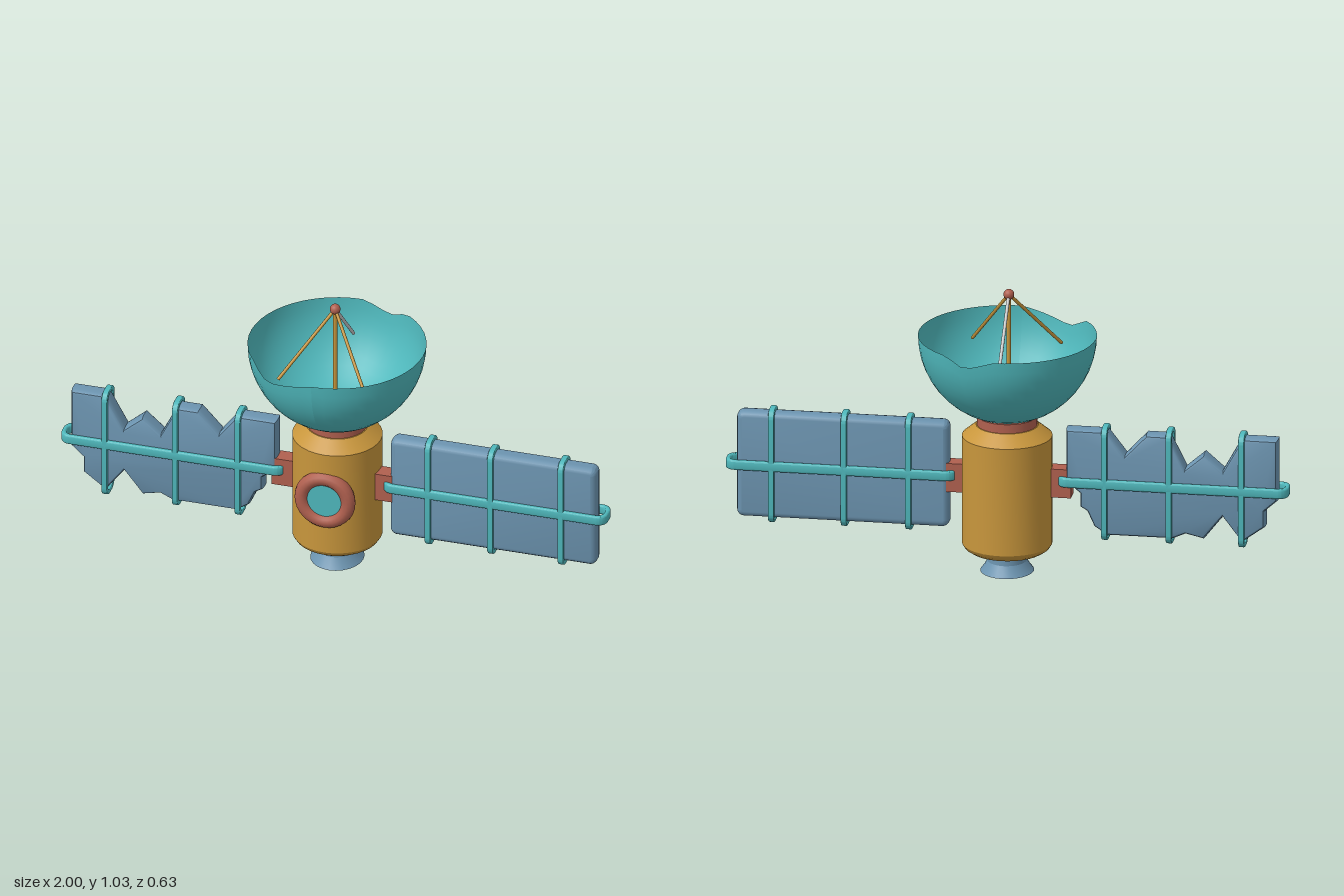
import * as THREE from 'three';
import { toCreasedNormals } from 'three/addons/utils/BufferGeometryUtils.js';

const mat = (color) => new THREE.MeshStandardMaterial({ color });
const gold = mat(0xc8963c), teal = mat(0x4fb8bc), red = mat(0xb0604f), blue = mat(0x6c94b0), grey = mat(0xcccccc);
const tealThin = mat(0x4fb8bc);
tealThin.side = THREE.DoubleSide;
const AXIS_Z = 0.012; // depth of the panels and feed
const BODY_Z = -0.005;

const V2 = (pts) => pts.map(([x, y]) => new THREE.Vector2(x, y));

function add(parent, name, geometry, material, x = 0, y = 0, z = 0) {
  const mesh = new THREE.Mesh(geometry, material);
  mesh.name = name;
  mesh.position.set(x, y, z);
  parent.add(mesh);
  return mesh;
}

const lathe = (pts, sides = 32) => toCreasedNormals(new THREE.LatheGeometry(V2(pts), sides), 0.5);

function roundRect(w, h, r, PathType = THREE.Shape) {
  const p = new PathType(), a = w / 2 - r, b = h / 2 - r;
  p.absarc(a, b, r, 0, Math.PI / 2);
  p.absarc(-a, b, r, Math.PI / 2, Math.PI);
  p.absarc(-a, -b, r, Math.PI, Math.PI * 1.5);
  p.absarc(a, -b, r, Math.PI * 1.5, Math.PI * 2);
  p.closePath();
  return p;
}

// Slab centred on z = 0 with soft edges kept inside the outline
function slab(shape, thickness, bevel, bevelThickness = bevel) {
  const depth = thickness - 2 * bevelThickness;
  const g = new THREE.ExtrudeGeometry(shape, {
    depth, bevelEnabled: true, bevelSize: bevel, bevelOffset: -bevel,
    bevelThickness, bevelSegments: 3, curveSegments: 5,
  });
  g.translate(0, 0, -depth / 2);
  return toCreasedNormals(g, 0.6);
}

// Closed strap that wraps around a panel
function strap(w, h, r, thick, width, bevel) {
  const shape = roundRect(w, h, r);
  shape.holes.push(roundRect(w - 2 * thick, h - 2 * thick, r - thick * 0.6, THREE.Path));
  return slab(shape, width, bevel);
}

function rod(parent, name, from, to, radius, material) {
  const a = new THREE.Vector3(...from), b = new THREE.Vector3(...to);
  const mesh = add(parent, name, new THREE.CylinderGeometry(radius, radius, a.distanceTo(b), 10), material);
  mesh.position.copy(a).lerp(b, 0.5);
  mesh.quaternion.setFromUnitVectors(new THREE.Vector3(0, 1, 0), b.sub(a).normalize());
}

// Thin bowl whose rim dips at two chipped places (angles in degrees from +x toward +z)
function dishGeometry(R, sides, rows) {
  const chips = [[90, 125, 143, 0.045], [-90, -70, -56, 0.035]];
  const dip = (deg) => {
    for (const [s, m, e, d] of chips) {
      if (deg > s && deg < e) return d * (deg < m ? (deg - s) / (m - s) : (e - deg) / (e - m));
    }
    return 0;
  };
  const pts = Array.from({ length: rows + 1 }, (_, j) => [Math.max(1e-4, j / rows), j / rows]);
  const g = new THREE.LatheGeometry(V2(pts), sides);
  const p = g.attributes.position;
  for (let i = 0; i < p.count; i++) {
    const a = Math.atan2(p.getZ(i), p.getX(i)), t = p.getY(i);
    const sweep = t * (Math.PI / 2 - Math.asin(dip(THREE.MathUtils.radToDeg(a)) / R));
    const r = R * Math.sin(sweep);
    p.setXYZ(i, r * Math.cos(a), -R * Math.cos(sweep), r * Math.sin(a));
  }
  g.computeVertexNormals();
  return g;
}

function solarWing(side, outline) {
  const wing = new THREE.Group();
  wing.name = side > 0 ? 'leftWing' : 'rightWing';
  wing.position.z = AXIS_Z;
  add(wing, 'mount', new THREE.BoxGeometry(0.09, 0.105, 0.06), red, side * 0.183, 0.333, 0);
  if (outline) {
    add(wing, 'tornPanel', slab(new THREE.Shape(V2(outline)), 0.068, 0.012, 0.02), blue);
  } else {
    add(wing, 'panel', slab(roundRect(0.755, 0.39, 0.025), 0.068, 0.02, 0.025), blue, side * 0.583, 0.342, 0);
  }
  // upright straps
  for (const x of [0.348, 0.577, 0.835]) {
    const s = add(wing, 'uprightStrap', strap(0.096, 0.42, 0.035, 0.015, 0.022, 0.004), teal, side * x, 0.34, 0);
    s.rotation.y = Math.PI / 2;
  }
  // long strap
  const long = add(wing, 'longStrap', strap(0.82, 0.096, 0.035, 0.016, 0.036, 0.006), teal, side * 0.59, 0.342, 0);
  long.rotation.x = Math.PI / 2;
  return wing;
}

export function createModel() {
  const model = new THREE.Group();
  model.name = 'satellite';

  // Body, engine nozzle and collar
  add(model, 'body', lathe([[0, 0.07], [0.105, 0.07], [0.13, 0.075], [0.15, 0.088], [0.159, 0.103],
    [0.159, 0.5], [0.135, 0.52], [0.11, 0.54], [0, 0.54]]), gold, 0, 0, BODY_Z);
  const nozzle = add(model, 'nozzle', lathe([[0, 0], [0.105, 0], [0.09, 0.018], [0.077, 0.038], [0.075, 0.08], [0, 0.08]], 24),
    blue, 0, 0, BODY_Z);
  nozzle.scale.x = 0.9;
  add(model, 'collar', new THREE.CylinderGeometry(0.106, 0.106, 0.042, 32), red, 0, 0.552, BODY_Z);

  // Porthole on the front
  add(model, 'portholeRing', new THREE.TorusGeometry(0.085, 0.026, 12, 32), red, 0, 0.315, 0.145);
  const glass = add(model, 'portholeGlass', new THREE.CylinderGeometry(0.066, 0.066, 0.02, 24), teal, 0, 0.315, 0.147);
  glass.rotation.x = Math.PI / 2;

  // Dish with its feed
  add(model, 'dish', dishGeometry(0.314, 48, 12), tealThin, 0, 0.87, 0);
  const tip = [-0.003, 1.015, AXIS_Z];
  add(model, 'feedBall', new THREE.SphereGeometry(0.019, 16, 12), red, ...tip);
  rod(model, 'feedPost', tip, [-0.003, 0.56, AXIS_Z], 0.008, gold);
  rod(model, 'feedStrutRight', tip, [-0.165, 0.79, 0.17], 0.006, gold);
  rod(model, 'feedStrutLeft', tip, [0.153, 0.79, 0.173], 0.006, gold);
  rod(model, 'feedStrutBack', tip, [-0.003, 0.79, -0.21], 0.006, grey);

  // Whole wing on the left, torn wing on the right
  model.add(solarWing(1));
  model.add(solarWing(-1, [
    [-0.21, 0.535], [-0.355, 0.535], [-0.42, 0.45], [-0.495, 0.53], [-0.575, 0.53], [-0.634, 0.412],
    [-0.7, 0.47], [-0.767, 0.412], [-0.835, 0.535], [-0.962, 0.535], [-0.962, 0.31], [-0.917, 0.27],
    [-0.917, 0.21], [-0.835, 0.15], [-0.767, 0.24], [-0.7, 0.155], [-0.635, 0.17], [-0.59, 0.15],
    [-0.355, 0.15], [-0.31, 0.18], [-0.285, 0.235], [-0.26, 0.25], [-0.26, 0.3], [-0.21, 0.34],
  ]));
  return model;
}
